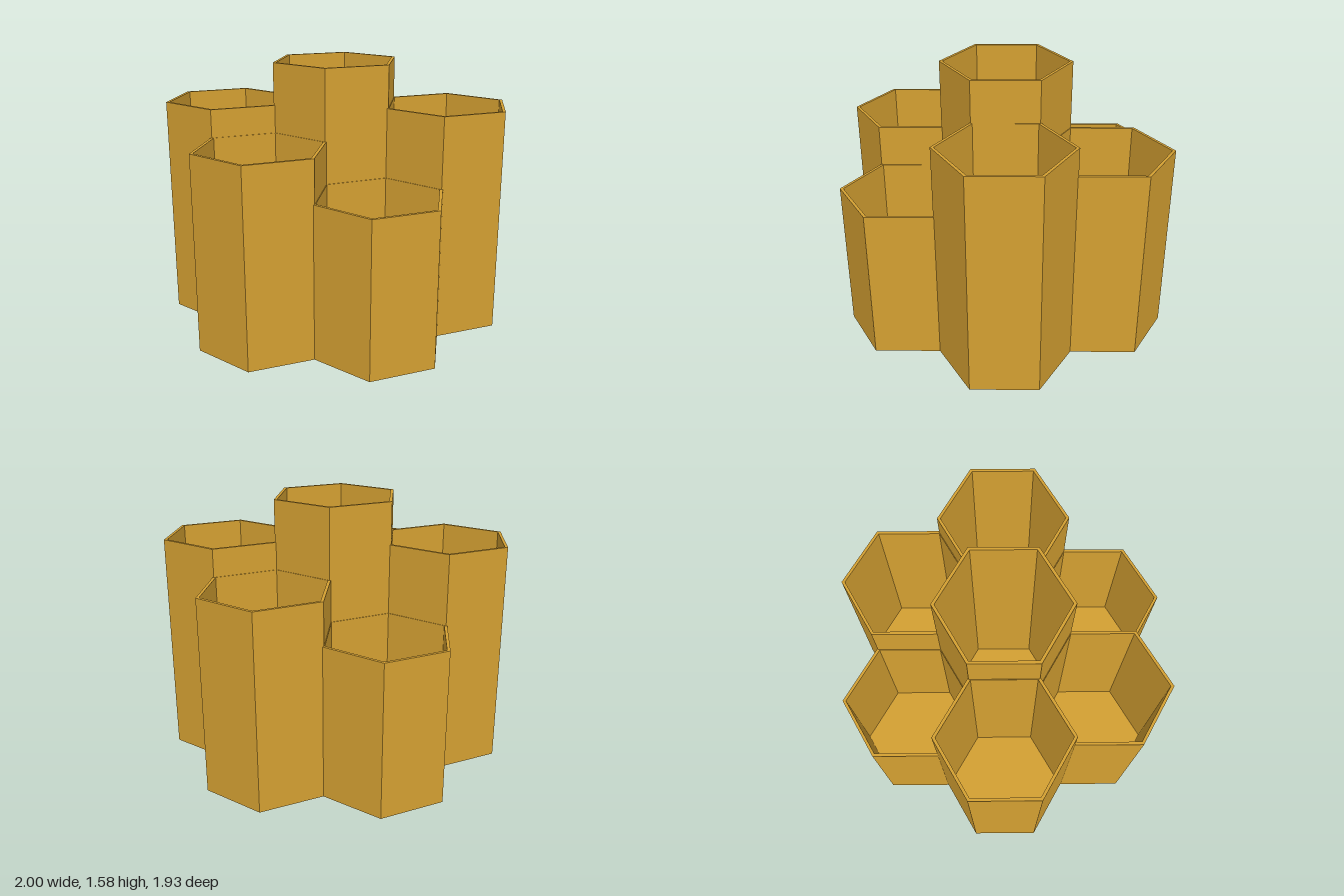
import * as THREE from 'three';

const OUTER = 0.39;    // corner radius of a cell
const INNER = 0.37;    // corner radius of its opening
const SPACING = 0.662; // distance between cell centres, walls overlap slightly
const FLOOR = 0.03;

// Open six-sided cup: base, outer wall, rim, inner wall and floor in one profile
function cellGeometry(height) {
  const profile = [
    [0, 0], [OUTER, 0], [OUTER, height], [INNER, height], [INNER, FLOOR], [0, FLOOR],
  ].map(([r, y]) => new THREE.Vector2(r, y));
  const geometry = new THREE.LatheGeometry(profile, 6).toNonIndexed();
  geometry.computeVertexNormals();
  return geometry;
}

export function createModel() {
  const group = new THREE.Group();
  group.name = 'honeycombOrganizer';
  const honey = new THREE.MeshStandardMaterial({ color: 0xd4a032, flatShading: true });
  honey.name = 'honey';

  function addCell(name, height, x, z) {
    const cell = new THREE.Mesh(cellGeometry(height), honey);
    cell.name = name;
    cell.position.set(x, 0, z);
    group.add(cell);
  }

  // Tall centre cell
  addCell('centerCell', 1.575, 0, 0);

  // Ring of six cells, from the left side round through the front
  const ring = [
    ['leftCell', 1.16], ['frontLeftCell', 1.325], ['frontRightCell', 0.91],
    ['rightCell', 1.16], ['backRightCell', 1.325], ['backLeftCell', 0.91],
  ];
  ring.forEach(([name, height], i) => {
    const a = (i * Math.PI) / 3;
    addCell(name, height, SPACING * Math.cos(a), SPACING * Math.sin(a));
  });

  return group;
}
